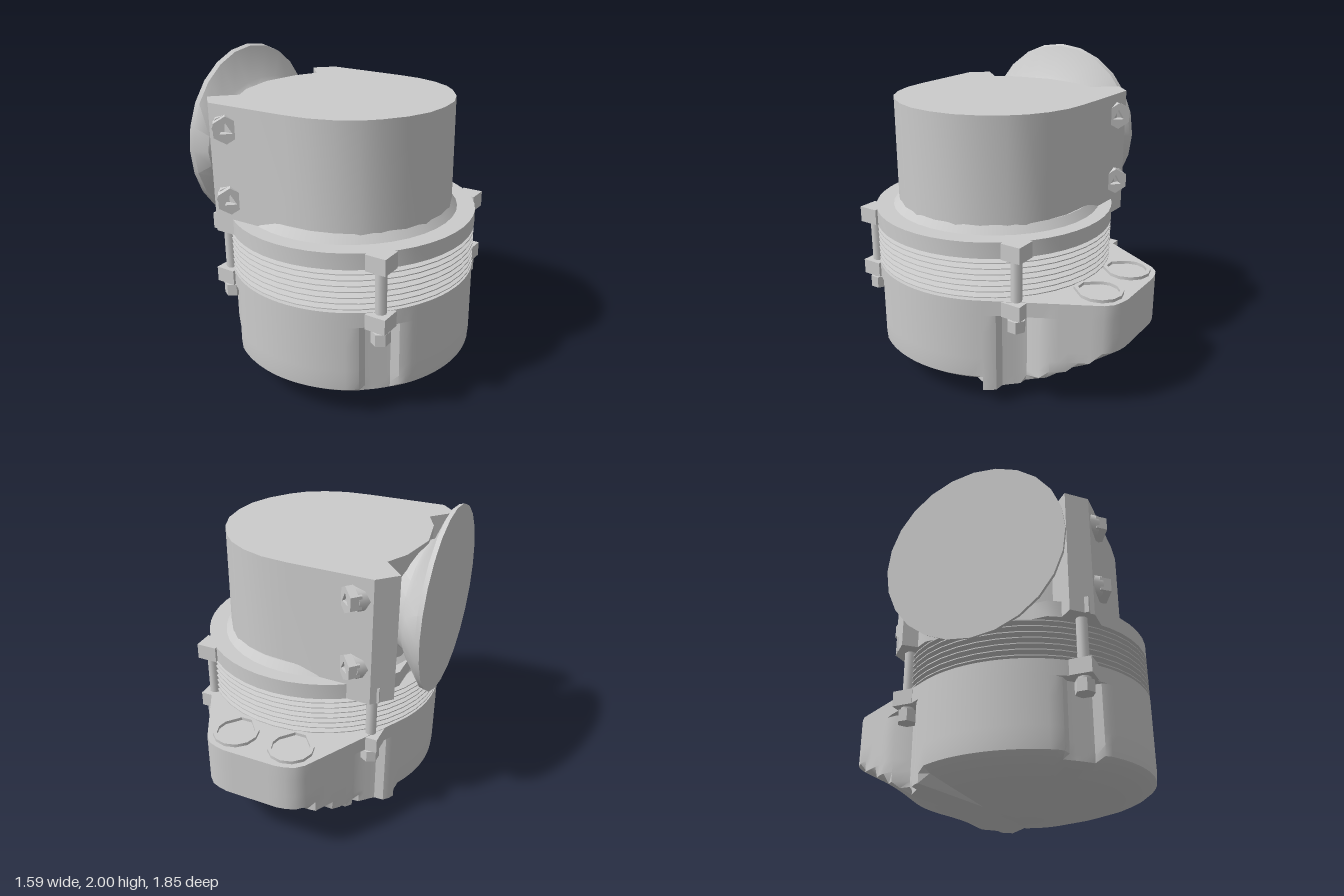
import * as THREE from 'three';
import { toCreasedNormals } from 'three/addons/utils/BufferGeometryUtils.js';

const CX = 0.02, CZ = 0.155, BOLT = 0.55;

export function createModel() {
  const group = new THREE.Group();
  const material = new THREE.MeshStandardMaterial({ color: 0xcccccc });

  const add = (name, geometry, x = 0, y = 0, z = 0) => {
    const mesh = new THREE.Mesh(geometry, material);
    mesh.name = name;
    mesh.position.set(x, y, z);
    group.add(mesh);
    return mesh;
  };

  // Closed skin through rings stacked along y; ring(t, row) gives [x, z]
  const loft = (rows, segments, ring, crease = 0.6) => {
    const pos = [], index = [], n = segments;
    rows.forEach((row) => {
      for (let i = 0; i < n; i++) {
        const [x, z] = ring((i / n) * Math.PI * 2, row);
        pos.push(x, row[0], z);
      }
    });
    const last = rows.length - 1;
    pos.push(0, rows[0][0], 0, 0, rows[last][0], 0);
    const low = rows.length * n, high = low + 1;
    for (let i = 0; i < n; i++) {
      const k = (i + 1) % n;
      for (let r = 0; r < last; r++) {
        const a = r * n + i, b = r * n + k;
        index.push(a, a + n, b, b, a + n, b + n);
      }
      index.push(low, i, k, high, last * n + k, last * n + i);
    }
    const g = new THREE.BufferGeometry();
    g.setAttribute('position', new THREE.Float32BufferAttribute(pos, 3));
    g.setIndex(index);
    return toCreasedNormals(g.toNonIndexed(), crease);
  };

  // Flat outline in [x, z], extruded downwards from the given top
  const slab = (points, top, height, hole) => {
    const shape = new THREE.Shape(points.map(([x, z]) => new THREE.Vector2(x, z)));
    if (hole) shape.holes.push(new THREE.Path(hole.map(([x, z]) => new THREE.Vector2(x, z))));
    const g = new THREE.ExtrudeGeometry(shape, { depth: height, bevelEnabled: false });
    g.rotateX(Math.PI / 2).translate(0, top, 0);
    return toCreasedNormals(g, 0.6);
  };

  // Lower bowl: round wall and shallow dome merged with a tapered rear box,
  // grooved below each clamp bolt
  const bowlRows = [[0.005, 0.02], [0.045, 0.33], [0.11, 0.56], [0.165, 0.72], [0.2, 0.765],
    [0.26, 0.77], [0.33, 0.77], [0.4, 0.77], [0.5, 0.77], [0.615, 0.77], [0.62, 0.77], [0.715, 0.77]];
  const sideAngle = Math.atan2(0.48, 0.877), cornerAngle = Math.atan2(0.94, 0.34);
  const bowlRing = (t, [y, r]) => {
    const back = -Math.sin(t), u = Math.atan2(back, Math.abs(Math.cos(t)));
    let radius = r;
    if (u > sideAngle && y > 0.1) {
      const reach = Math.min(1.08, 0.61 + (y - 0.15) * 1.88);
      radius = Math.max(r, Math.min(0.77 / Math.cos(u - sideAngle),
        1.083 / Math.cos(u - cornerAngle), reach / back));
    }
    if (y < 0.618) {
      const off = Math.abs(Math.abs(u) - Math.PI / 4);
      const dip = THREE.MathUtils.clamp((0.17 - off) / 0.07, 0, 1);
      radius = Math.min(radius, THREE.MathUtils.lerp(radius, 0.715, dip));
    }
    return [radius * Math.cos(t), radius * Math.sin(t)];
  };
  add('lowerBowl', loft(bowlRows, 120, bowlRing), CX, 0, CZ);

  // Two cable ports on the rear box, each a teardrop lip
  const teardrop = (s) => {
    const pts = [];
    for (let i = 0; i <= 10; i++) {
      const a = THREE.MathUtils.degToRad(125 + i * 29);
      pts.push([s * Math.cos(a), s * Math.sin(a)]);
    }
    pts.push([s * 0.3, s * 1.15], [-s * 0.3, s * 1.15]);
    return pts;
  };
  for (const x of [-0.165, 0.205])
    add('cablePort', slab(teardrop(0.14), 0.735, 0.03, teardrop(0.115)), x, 0, -0.75);

  // Stack of cooling fins
  const finProfile = [[0.68, 0.7]];
  for (let i = 0; i < 7; i++) {
    const y = 0.735 + i * 0.036;
    finProfile.push([0.69, y - 0.016], [0.77, y - 0.003], [0.77, y + 0.003], [0.69, y + 0.016]);
  }
  finProfile.push([0.68, 0.99]);
  const fins = new THREE.LatheGeometry(finProfile.map(([r, y]) => new THREE.Vector2(r, y)), 40);
  add('coolingFins', toCreasedNormals(fins, 0.4), CX, 0, CZ);

  // Upper flange, cut straight on the side that carries the dish
  const flangePoints = [];
  for (let i = 0; i < 48; i++) {
    const a = (i / 48) * Math.PI * 2;
    flangePoints.push([Math.max(-0.64, CX + 0.77 * Math.cos(a)), CZ + 0.77 * Math.sin(a)]);
  }
  add('flange', slab(flangePoints, 1.08, 0.1));
  add('flangeFillet', new THREE.CylinderGeometry(0.635, 0.675, 0.05, 40), 0, 1.105, 0.15);

  // Clamp bolts with lugs above and below the fins
  for (const sx of [-1, 1]) {
    for (const sz of [-1, 1]) {
      const x = CX + sx * BOLT, z = CZ + sz * BOLT;
      add('flangeLug', new THREE.BoxGeometry(0.13, 0.1, 0.13), x, 1.03, z);
      add('bowlLug', new THREE.BoxGeometry(0.13, 0.095, 0.13), x, 0.665, z);
      add('clampBolt', new THREE.CylinderGeometry(0.035, 0.035, 0.4, 8), x, 0.8, z);
      const nut = new THREE.CylinderGeometry(0.058, 0.058, 0.075, 6).toNonIndexed();
      nut.computeVertexNormals();
      add('boltNut', nut, x, 0.56, z);
      add('boltWasher', new THREE.CylinderGeometry(0.04, 0.04, 0.03, 8), x, 0.61, z);
    }
  }

  // Upper housing: half-round outline with flat flanks and two clamping corners
  const half = [[0.64, 0], [0.625, 0.15], [0.57, 0.29], [0.48, 0.42], [0.4, 0.5], [0.28, 0.57],
    [0.14, 0.615], [-0.02, 0.63], [-0.55, 0.64], [-0.66, 0.53], [-0.53, 0.39], [-0.6, 0.25]];
  const outline = [
    ...half.map(([x, z]) => [x, 0.15 + z]),
    [-0.645, 0.15],
    ...half.slice(1).reverse().map(([x, z]) => [x, 0.15 - z]),
  ];
  add('upperHousing', slab(outline, 1.775, 0.795));

  // Side dish: round flat face tapering to a flattened neck
  const dishRows = [[0.52, 0.3, 0.34], [0.65, 0.33, 0.46], [0.69, 0.37, 0.53],
    [0.77, 0.565, 0.57], [0.8, 0.575, 0.575]];
  const dish = loft(dishRows, 24, (t, row) => [row[1] * Math.cos(t), row[2] * Math.sin(t)], 0.5);
  add('sideDish', dish.rotateZ(Math.PI / 2), 0, 1.425, 0.145);

  // Tilted hex screws with three-sided sockets
  const ngon = (n, r) => Array.from({ length: n }, (_, i) => {
    const a = (i / n) * Math.PI * 2 + Math.PI / 2;
    return new THREE.Vector2(r * Math.cos(a), r * Math.sin(a));
  });
  const headShape = new THREE.Shape(ngon(6, 0.082));
  headShape.holes.push(new THREE.Path(ngon(3, 0.042)));
  const head = new THREE.ExtrudeGeometry(headShape, { depth: 0.07, bevelEnabled: false });
  const shank = new THREE.CylinderGeometry(0.08, 0.08, 0.14, 8).rotateX(Math.PI / 2);
  for (const sz of [-1, 1]) {
    for (const y of [1.64, 1.21]) {
      const screw = new THREE.Group();
      screw.name = 'clampScrew';
      const parts = { screwHead: [head, -0.07], screwShank: [shank, -0.12] };
      for (const [name, [geometry, z]] of Object.entries(parts)) {
        const mesh = new THREE.Mesh(geometry, material);
        mesh.name = name;
        mesh.position.z = z;
        screw.add(mesh);
      }
      screw.position.set(-0.395, y, 0.15 + sz * 0.67);
      screw.rotation.y = Math.atan2(0.68, sz * 0.73);
      group.add(screw);
    }
  }
  return group;
}
